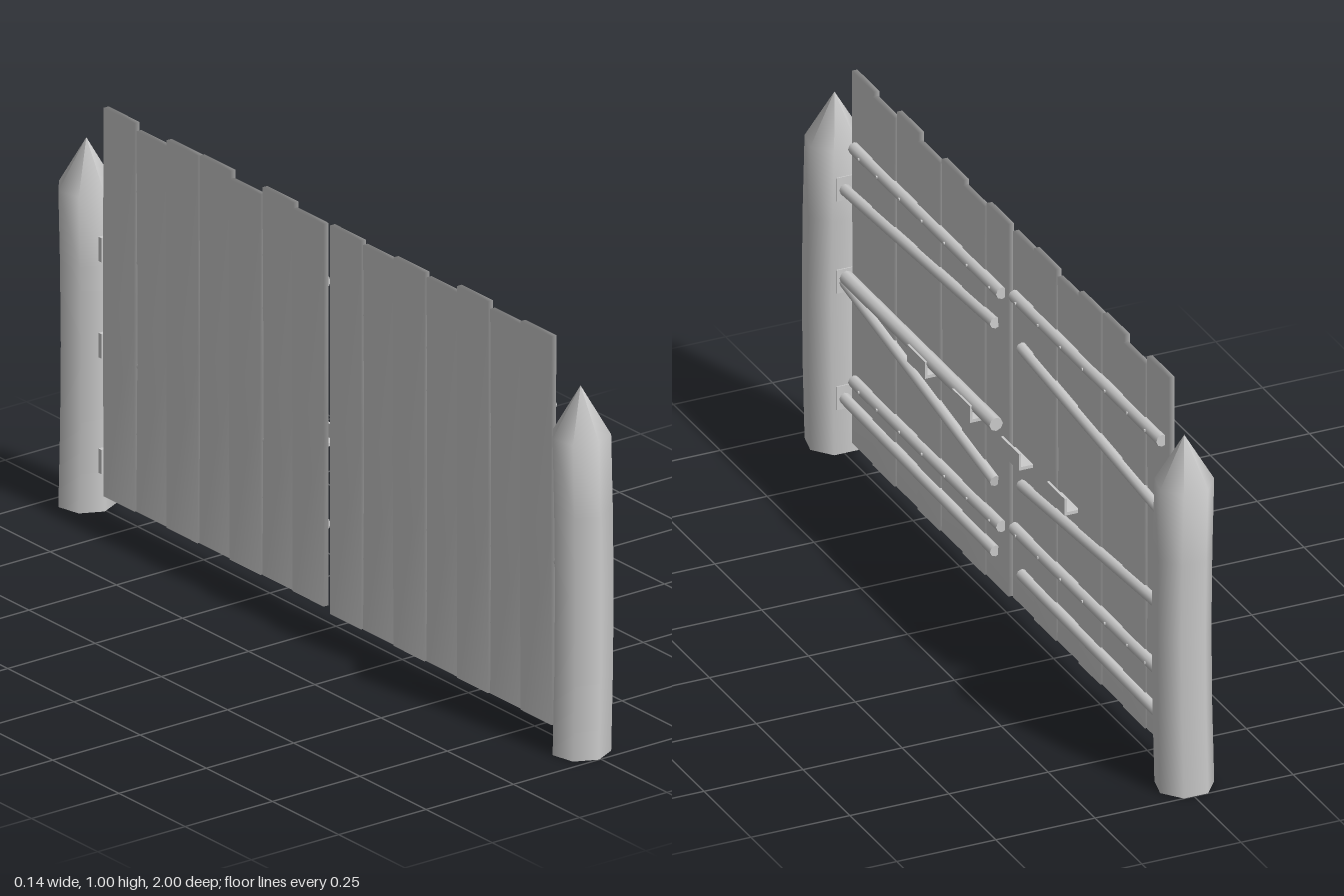
import * as THREE from 'three';
import { mergeVertices } from 'three/addons/utils/BufferGeometryUtils.js';

const material = new THREE.MeshStandardMaterial({ color: 0xcccccc });

function add(parent, name, geometry, x = 0, y = 0, z = 0) {
  const mesh = new THREE.Mesh(geometry, material);
  mesh.name = name;
  mesh.position.set(x, y, z);
  parent.add(mesh);
  return mesh;
}

// Seven-sided pointed post, open underneath, bowed slightly towards +x
function postGeometry() {
  const profile = [[0.07, 0], [0.07, 0.2], [0.07, 0.4], [0.07, 0.6], [0.07, 0.78], [0, 0.9]]
    .map(([r, y]) => new THREE.Vector2(r, y));
  const geometry = new THREE.LatheGeometry(profile, 7);
  const p = geometry.attributes.position;
  for (let i = 0; i < p.count; i++) {
    p.setX(i, p.getX(i) - 0.005 + 0.007 * Math.sin(Math.min(1, p.getY(i) / 0.78) * Math.PI));
  }
  return geometry;
}

// Softly shaded plank whose middle bows a little sideways
function plankGeometry(width, height, bow) {
  let geometry = new THREE.BoxGeometry(0.014, height, width, 1, 2, 1);
  geometry.deleteAttribute('normal');
  geometry.deleteAttribute('uv');
  geometry = mergeVertices(geometry);
  const p = geometry.attributes.position;
  for (let i = 0; i < p.count; i++) {
    if (Math.abs(p.getY(i)) < 0.01) p.setZ(i, p.getZ(i) + bow);
  }
  geometry.computeVertexNormals();
  return geometry;
}

// Round bar between two points given as [y, z]
function addBar(parent, name, from, to, x, radius) {
  const a = new THREE.Vector3(x, ...from);
  const b = new THREE.Vector3(x, ...to);
  const bar = add(parent, name, new THREE.CylinderGeometry(radius, radius, a.distanceTo(b), 8));
  bar.position.copy(a).lerp(b, 0.5);
  bar.quaternion.setFromUnitVectors(new THREE.Vector3(0, 1, 0), b.sub(a).normalize());
  return bar;
}

// L-shaped hook: shelf with an upright outer lip
function bracketGeometry() {
  const shape = new THREE.Shape([
    [-0.008, 0], [0.03, 0], [0.03, 0.043], [0.024, 0.043], [0.024, 0.008], [-0.008, 0.008],
  ].map(([x, y]) => new THREE.Vector2(x, y)));
  return new THREE.ExtrudeGeometry(shape, { depth: 0.096, bevelEnabled: false }).translate(0, 0, -0.048);
}

const leaves = [
  {
    name: 'leftLeaf', start: 0.063, step: 0.12, bottom: 0.037,
    tops: [0.995, 0.985, 0.995, 0.984, 1.003, 0.985, 0.995],
    rails: [[0.81, 0.025, 0.815], [0.21, 0.025, 0.815]],
    hinges: [[0.717, 0.06, 0.68, 0.87], [0.31, 0.06, 0.443, 0.87], [0.13, 0.06, 0.143, 0.87]],
    brackets: [0.18, 0.42],
  },
  {
    name: 'rightLeaf', start: -0.078, step: -0.119, bottom: 0.047,
    tops: [0.99, 1.003, 0.985, 1.003, 1.003, 0.985, 1.005],
    rails: [[0.835, -0.04, -0.83], [0.237, -0.04, -0.83]],
    hinges: [[0.72, -0.08, 0.647, -0.865], [0.366, -0.08, 0.41, -0.865], [0.136, -0.08, 0.125, -0.865]],
    brackets: [-0.08, -0.325],
  },
];

export function createModel() {
  const gate = new THREE.Group();
  gate.name = 'palisadeGate';

  // Posts
  add(gate, 'leftPost', postGeometry(), 0, 0, 0.93);
  add(gate, 'rightPost', postGeometry(), 0, 0, -0.937);

  for (const leaf of leaves) {
    const group = new THREE.Group();
    group.name = leaf.name;
    gate.add(group);

    // Upright planks
    leaf.tops.forEach((top, i) => {
      const height = top - leaf.bottom;
      const bow = [0, 0.004, -0.003, 0.002][i % 4];
      add(group, 'plank', plankGeometry(0.117, height, bow),
        i % 2 ? -0.01 : -0.014, leaf.bottom + height / 2, leaf.start + i * leaf.step);
    });

    // Level rails, nailed to every plank
    for (const [y, z0, z1] of leaf.rails) {
      addBar(group, 'rail', [y, z0], [y, z1], 0, 0.015);
      for (let i = 0; i < 7; i++) {
        const nail = add(group, 'nail', new THREE.CylinderGeometry(0.004, 0.004, 0.006, 6),
          0.014, y, leaf.start + (i + (i === 6 ? -0.2 : 0)) * leaf.step);
        nail.rotation.z = Math.PI / 2;
      }
    }

    // Sloping hinge bars with plates against the post
    for (const [y0, z0, y1, z1] of leaf.hinges) {
      addBar(group, 'hingeBar', [y0, z0], [y1, z1], 0, 0.014);
      add(group, 'hingePlate', new THREE.BoxGeometry(0.04, 0.06, 0.012), 0, y1 + 0.003, z1);
    }

    // Hooks for the locking bar
    for (const z of leaf.brackets) add(group, 'bracket', bracketGeometry(), 0, 0.432, z);
  }

  // Locking bar, slid open onto the left leaf
  addBar(gate, 'lockingBar', [0.47, 0.035], [0.47, 0.835], 0.01, 0.017);

  return gate;
}
